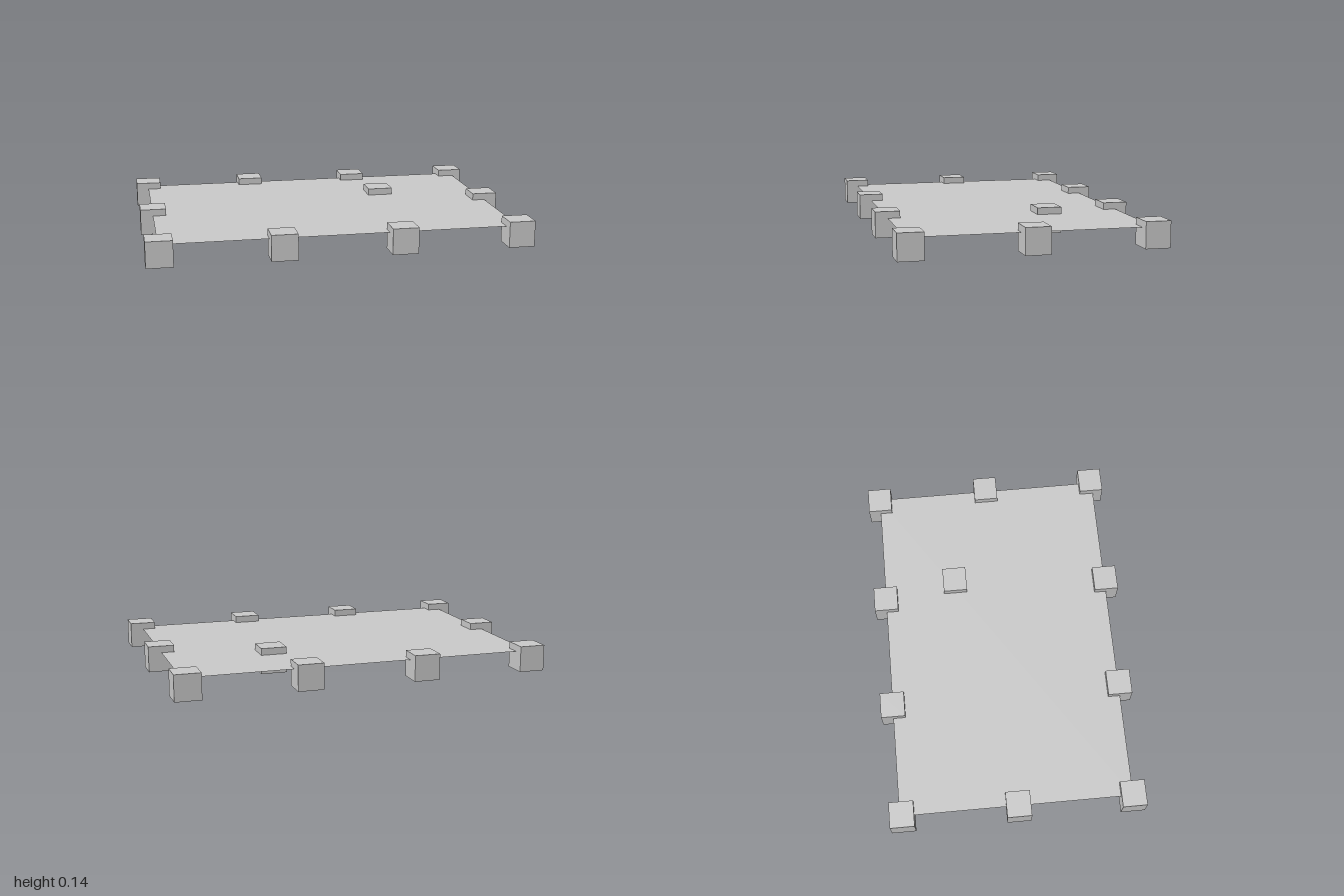
import * as THREE from 'three';

export function createModel() {
  const model = new THREE.Group();
  const material = new THREE.MeshStandardMaterial({ color: 0xcccccc, flatShading: true });
  const sheetMaterial = new THREE.MeshStandardMaterial({ color: 0xcccccc, side: THREE.DoubleSide });

  const height = 0.137;
  const blockGeometry = new THREE.BoxGeometry(0.137, height, 0.13);

  // Blocks standing along the edges, plus one inside: name, x, z
  const blocks = [
    ['backRightCornerBlock', -0.932, -0.607],
    ['backRightBlock', -0.329, -0.619],
    ['backLeftBlock', 0.293, -0.619],
    ['backLeftCornerBlock', 0.911, -0.619],
    ['rightMiddleBlock', -0.932, 0.01],
    ['leftMiddleBlock', 0.931, -0.005],
    ['frontRightCornerBlock', -0.931, 0.62],
    ['frontRightBlock', -0.312, 0.62],
    ['frontLeftBlock', 0.308, 0.62],
    ['frontLeftCornerBlock', 0.931, 0.608],
    ['innerBlock', 0.376, -0.226],
  ];
  for (const [name, x, z] of blocks) {
    const block = new THREE.Mesh(blockGeometry, material);
    block.name = name;
    block.position.set(x, height / 2, z);
    model.add(block);
  }

  // Thin flat deck passing through the upper part of the blocks
  const deck = new THREE.Mesh(new THREE.PlaneGeometry(1.865, 1.24), sheetMaterial);
  deck.name = 'deck';
  deck.rotation.x = -Math.PI / 2;
  deck.position.set(-0.002, 0.101, 0);
  model.add(deck);

  return model;
}
